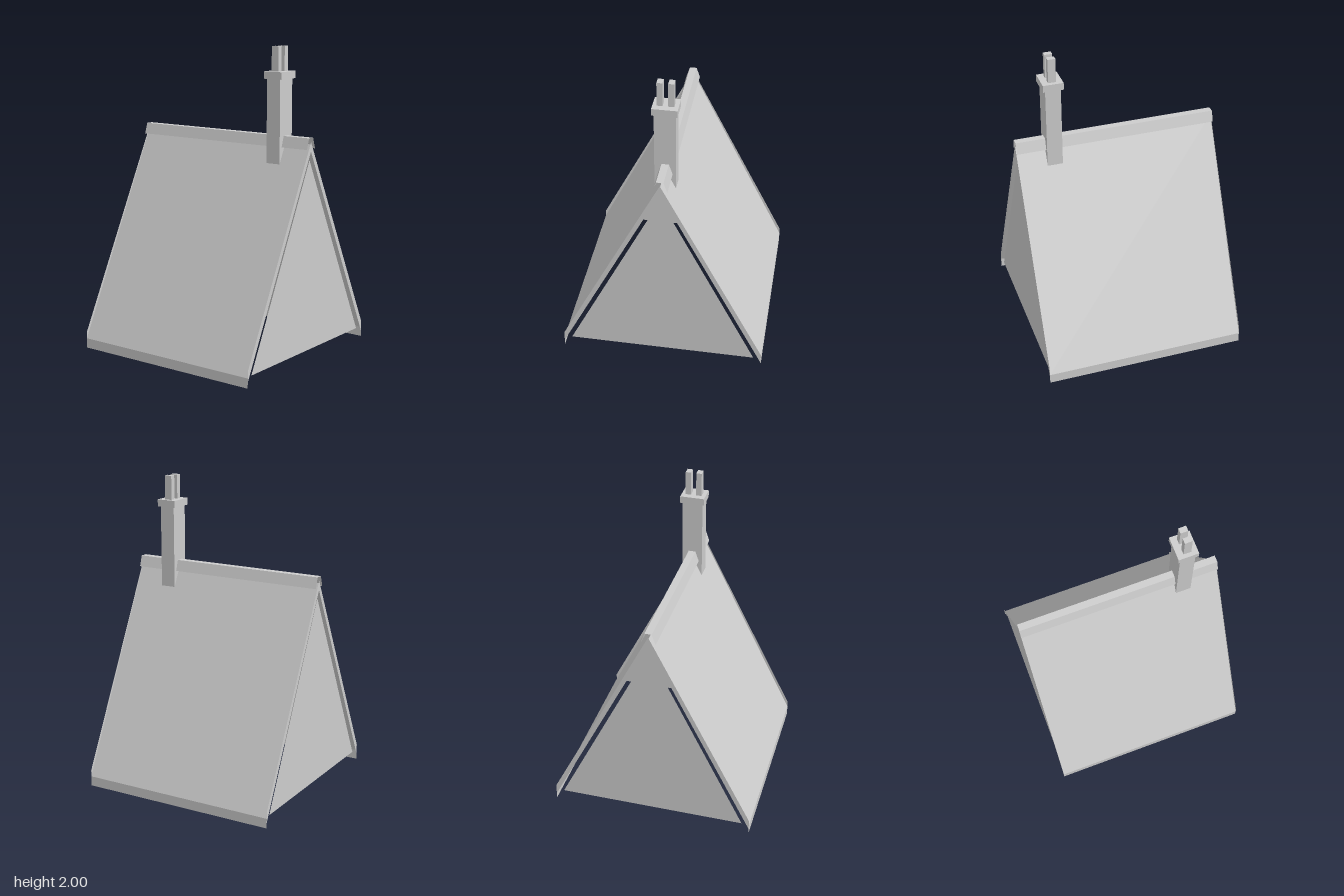
import * as THREE from 'three';

export function createModel() {
  const model = new THREE.Group();
  const grey = new THREE.MeshStandardMaterial({ color: 0xcccccc, side: THREE.DoubleSide });
  grey.name = 'plain grey';
  const HALF = 0.66; // half length of the roof along x

  const add = (name, geometry, x = 0, y = 0, z = 0) => {
    const mesh = new THREE.Mesh(geometry, grey);
    mesh.name = name;
    mesh.position.set(x, y, z);
    model.add(mesh);
  };

  // Open folded sheet: a [z, y] profile swept along x, one flat quad per fold
  const foldedSheet = (profile) => {
    const pos = [];
    for (let i = 0; i < profile.length - 1; i++) {
      const [z0, y0] = profile[i], [z1, y1] = profile[i + 1];
      pos.push(-HALF, y0, z0, HALF, y0, z0, HALF, y1, z1);
      pos.push(-HALF, y0, z0, HALF, y1, z1, -HALF, y1, z1);
    }
    const g = new THREE.BufferGeometry();
    g.setAttribute('position', new THREE.Float32BufferAttribute(pos, 3));
    g.computeVertexNormals();
    return g;
  };

  // Flat end panel from [z, y] corners, facing outwards on the given side
  const endPanel = (corners, side) => {
    const shape = new THREE.Shape(corners.map(([z, y]) => new THREE.Vector2(z, y)));
    return new THREE.ShapeGeometry(shape).rotateY(side * Math.PI / 2);
  };

  // Roof slopes with hanging eaves, and the ridge cap over them
  add('roof', foldedSheet([[0.66, 0], [0.66, 0.064], [0, 1.4], [-0.66, 0.064], [-0.66, 0]]));
  add('ridgeCap', foldedSheet([[0.046, 1.37], [0.023, 1.44], [-0.023, 1.44], [-0.046, 1.37]]));

  // Gable walls and the edge boards along the roof ends
  for (const side of [1, -1]) {
    add('gableWall', endPanel([[-0.61, 0.066], [0.61, 0.066], [0, 1.3]], side), side * 0.65);
    add('edgeBoard', endPanel([
      [-0.66, 0.037], [0, 1.355], [0.66, 0.037], [0.66, 0.106], [0, 1.415], [-0.66, 0.106],
    ], side), side * HALF);
  }

  // Chimney stack, collar and two flues
  const cx = 0.42;
  add('chimneyStack', new THREE.BoxGeometry(0.1, 0.66, 0.134), cx, 1.47);
  add('chimneyCollar', new THREE.BoxGeometry(0.132, 0.046, 0.158), cx, 1.82);
  for (const side of [1, -1]) {
    add('flue', new THREE.BoxGeometry(0.05, 0.16, 0.036), cx, 1.92, side * 0.035);
  }
  return model;
}
